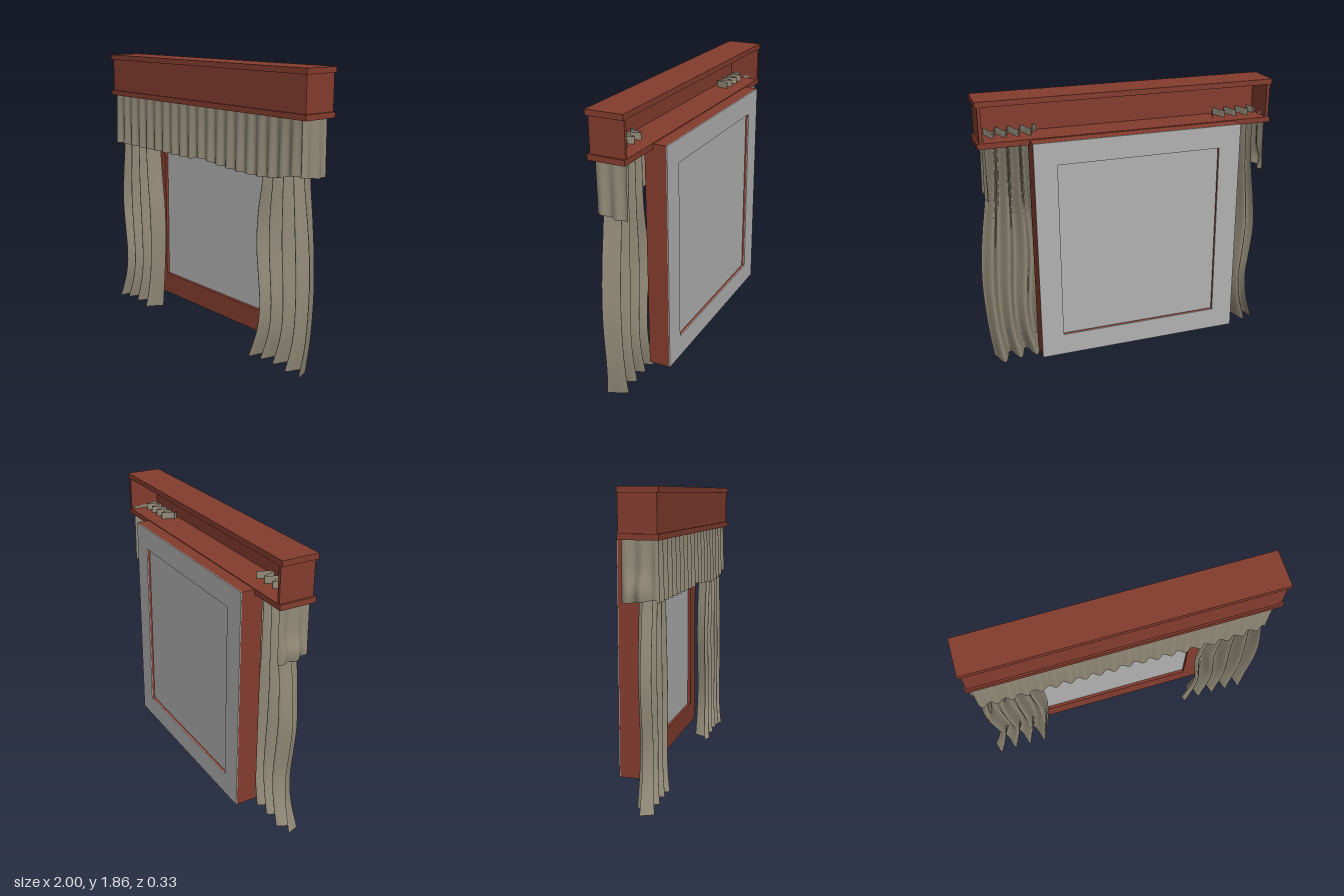
import * as THREE from 'three';

const wood = new THREE.MeshStandardMaterial({ color: 0x843c2e });
wood.name = 'redWood';
const grey = new THREE.MeshStandardMaterial({ color: 0xb2b2b2 });
grey.name = 'paneGrey';
const cloth = new THREE.MeshStandardMaterial({ color: 0x938b79, side: THREE.DoubleSide });
cloth.name = 'drapeCloth';

// Box given by its minimum and maximum corners
function box(name, material, x0, x1, y0, y1, z0, z1) {
  const mesh = new THREE.Mesh(new THREE.BoxGeometry(x1 - x0, y1 - y0, z1 - z0), material);
  mesh.position.set((x0 + x1) / 2, (y0 + y1) / 2, (z0 + z1) / 2);
  mesh.name = name;
  return mesh;
}

// Smooth cloth sheet: point(u, v) gives [x, y, z], v runs from bottom to top
function sheet(name, nu, nv, point) {
  const pos = [], index = [];
  for (let j = 0; j <= nv; j++) {
    for (let i = 0; i <= nu; i++) {
      pos.push(...point(i / nu, j / nv));
      if (i < nu && j < nv) {
        const a = j * (nu + 1) + i, b = a + 1, c = a + nu + 1, d = c + 1;
        index.push(a, b, d, a, d, c);
      }
    }
  }
  const g = new THREE.BufferGeometry();
  g.setAttribute('position', new THREE.Float32BufferAttribute(pos, 3));
  g.setIndex(index);
  g.computeVertexNormals();
  const mesh = new THREE.Mesh(g, cloth);
  mesh.name = name;
  return mesh;
}

// Rectangular ring with a rectangular opening
function ring(name, material, x0, x1, y0, y1, border, z0, depth) {
  const rect = (C, a, b, c, d) => new C([[a, c], [b, c], [b, d], [a, d]].map(p => new THREE.Vector2(...p)));
  const shape = rect(THREE.Shape, x0, x1, y0, y1);
  shape.holes.push(rect(THREE.Path, x0 + border, x1 - border, y0 + border, y1 - border));
  const mesh = new THREE.Mesh(new THREE.ExtrudeGeometry(shape, { depth, bevelEnabled: false }), material);
  mesh.position.z = z0;
  mesh.name = name;
  return mesh;
}

// Hanging curtain; rows are [left edge, right edge, height]
function curtain(name, rows, period, phase) {
  const edges = new THREE.CatmullRomCurve3(rows.map(r => new THREE.Vector3(...r)));
  return sheet(name, 72, 30, (u, v) => {
    const e = edges.getPoint(v);
    const low = Math.max(0, 1 - v * 5);
    const wave = -Math.sin((u - phase) / period * Math.PI * 2);
    return [
      e.x + (e.y - e.x) * u,
      e.z + low * 0.028 * Math.sin(Math.PI * u),
      0.06 + 0.048 * wave + low * low * 0.025 * Math.max(0, wave),
    ];
  });
}

// Piecewise linear lookup
function lookup(table, x) {
  for (let i = 1; i < table.length; i++) {
    const [xa, ya] = table[i - 1], [xb, yb] = table[i];
    if (x <= xb) return THREE.MathUtils.lerp(ya, yb, Math.max(0, (x - xa) / (xb - xa)));
  }
  return table[table.length - 1][1];
}

function createModel() {
  const model = new THREE.Group();

  // Window: red frame, grey backing ring and recessed pane
  const windowUnit = new THREE.Group();
  windowUnit.name = 'window';
  windowUnit.add(
    ring('windowFrame', wood, -0.712, 0.668, 0.11, 1.6, 0.148, -0.16, 0.14),
    ring('frameBacking', grey, -0.712, 0.668, 0.11, 1.6, 0.148, -0.166, 0.006),
    box('pane', grey, -0.57, 0.526, 0.25, 1.46, -0.145, -0.04),
  );
  model.add(windowUnit);

  // Pelmet box, open at the back
  const pelmet = new THREE.Group();
  pelmet.name = 'pelmet';
  pelmet.add(
    box('topBoard', wood, -0.97, 0.987, 1.825, 1.86, -0.077, 0.162),
    box('bottomBoard', wood, -0.97, 0.987, 1.57, 1.605, -0.077, 0.162),
    box('frontBoard', wood, -0.957, 0.974, 1.605, 1.825, 0.13, 0.15),
    box('rightEnd', wood, -0.957, -0.937, 1.605, 1.825, -0.075, 0.13),
    box('leftEnd', wood, 0.954, 0.974, 1.605, 1.825, -0.075, 0.13),
  );
  model.add(pelmet);

  // Pair of side curtains
  model.add(
    curtain('rightCurtain', [
      [-1.0, -0.575, 0], [-0.945, -0.555, 0.2], [-0.93, -0.54, 0.38], [-0.952, -0.53, 0.57],
      [-0.97, -0.535, 0.76], [-0.955, -0.558, 0.97], [-0.925, -0.58, 1.2], [-0.91, -0.59, 1.42], [-0.91, -0.59, 1.65],
    ], 0.265, 0.14),
    curtain('leftCurtain', [
      [0.49, 0.948, 0], [0.547, 0.975, 0.2], [0.563, 0.99, 0.38], [0.545, 0.998, 0.57],
      [0.527, 0.992, 0.76], [0.54, 0.97, 0.97], [0.58, 0.937, 1.2], [0.59, 0.92, 1.42], [0.59, 0.92, 1.65],
    ], 0.24, 0.1),
  );

  // Valance: one gathered strip around the front and both ends
  const x0 = -0.938, x1 = 0.942, zBack = -0.06, zFront = 0.14;
  const side = zFront - zBack, total = x1 - x0 + side * 2;
  const hem = [[-1, 1.22], [-0.05, 1.218], [0, 1.235], [0.2, 1.215], [0.4, 1.2], [0.6, 1.198],
    [0.75, 1.21], [0.88, 1.245], [0.95, 1.24]];
  model.add(sheet('valance', 320, 10, (u, v) => {
    const s = u * total;
    const onRight = s < side, onLeft = s > total - side;
    const x = THREE.MathUtils.clamp(x0 + s - side, x0, x1);
    const z = onRight ? zBack + s : onLeft ? zBack + total - s : zFront;
    const bottom = onRight || onLeft ? 1.22 + 0.02 * Math.max(0, z) / zFront : lookup(hem, x);
    const y = THREE.MathUtils.lerp(bottom, 1.625, v);
    const fold = Math.sin(s / 0.095 * Math.PI * 2) * (0.004 + 0.008 * (1 - v)) + 0.004 * (1 - v);
    if (onRight) {
      const bulge = 0.03 * Math.exp(-(((y - 1.28) / 0.07) ** 2)) * Math.sin(Math.PI * s / side);
      return [x - fold - bulge, y, z];
    }
    if (onLeft) return [x + fold * 0.8, y, z];
    return [x, y, z + fold];
  }));

  return model;
}

export { createModel };
